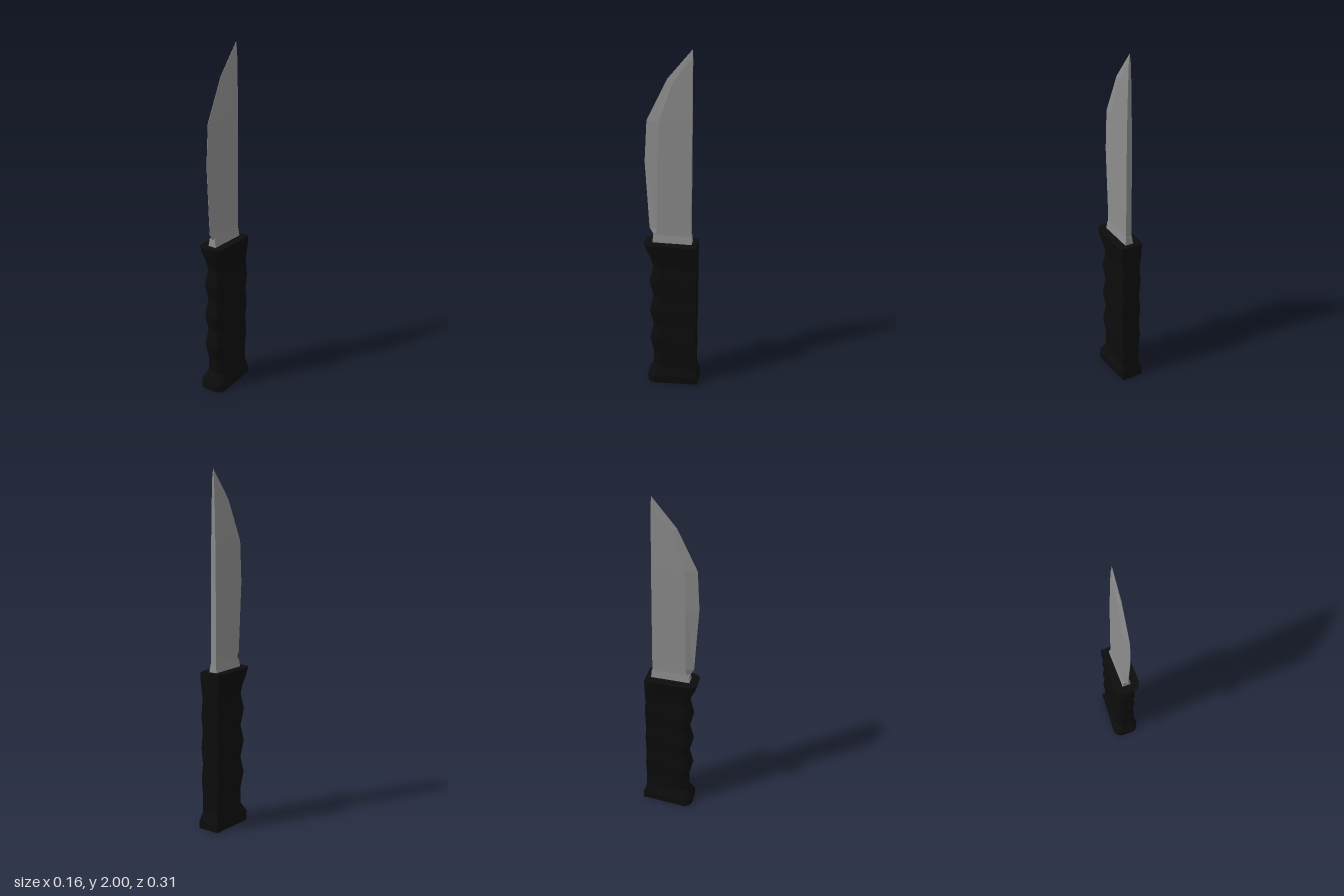
import * as THREE from 'three';

// Joins rings of [x, y, z] points into a closed, faceted solid.
function loft(rings) {
  const pos = [];
  const tri = (...pts) => pts.forEach((p) => pos.push(...p));
  const n = rings[0].length;
  const last = rings[rings.length - 1];
  for (let r = 0; r < rings.length - 1; r++) {
    for (let i = 0; i < n; i++) {
      const j = (i + 1) % n;
      const a = rings[r], b = rings[r + 1];
      tri(a[i], a[j], b[i]);
      tri(a[j], b[j], b[i]);
    }
  }
  for (let i = 1; i < n - 1; i++) {
    tri(rings[0][0], rings[0][i + 1], rings[0][i]);
    tri(last[0], last[i], last[i + 1]);
  }
  const geo = new THREE.BufferGeometry();
  geo.setAttribute('position', new THREE.Float32BufferAttribute(pos, 3));
  geo.computeVertexNormals();
  return geo;
}

// Completes a ring from its +x half, listed front to back.
const mirrored = (half) => [...half, ...half.slice().reverse().map(([x, y, z]) => [-x, y, z])];

function part(name, geometry, color) {
  const mesh = new THREE.Mesh(geometry, new THREE.MeshStandardMaterial({ color, flatShading: true }));
  mesh.name = name;
  return mesh;
}

export function createModel() {
  const group = new THREE.Group();
  group.name = 'knife';

  // Handle sections: y, front z, back z, half width in front, half width behind
  const sections = [
    [0, 0.142, -0.157, 0.078, 0.063],
    [0.045, 0.142, -0.157, 0.078, 0.063],
    [0.1, 0.108, -0.14, 0.052, 0.05],
  ];
  // Finger grooves: alternate narrow and wide
  for (let i = 0; i < 7; i++) {
    const wide = i % 2 === 1;
    sections.push([0.19 + i * 0.094, wide ? 0.13 : 0.108, -0.14, wide ? 0.059 : 0.05, wide ? 0.059 : 0.05]);
  }
  // Flare below the blade
  sections.push(
    [0.81, 0.122, -0.14, 0.057, 0.057],
    [0.86, 0.146, -0.14, 0.065, 0.065],
    [0.905, 0.157, -0.14, 0.073, 0.073],
  );
  const handleRings = sections.map(([y, zf, zb, w, wb]) => mirrored([
    [w * 0.5, y, zf],
    [w * 0.8, y, zf - 0.012],
    [w, y, zf - 0.04],
    [wb, y, zb + 0.03],
    [Math.min(wb, 0.063), y, zb],
  ]));
  group.add(part('handle', loft(handleRings), 0x0c0c0c));

  // Blade base, tapering up out of the handle
  const baseRings = [[0.88, 0.111, 0.025], [0.91, 0.111, 0.024], [0.95, 0.108, 0.018]].map(
    ([y, z, w]) => mirrored([[w, y, z], [w, y, -z]]));
  group.add(part('bladeBase', loft(baseRings), 0x8c8c8c));

  // Blade sections: bevel y, bevel z, edge y, edge z, half thickness
  const bladeRings = [
    [0.945, 0.1, 0.945, 0.108, 0.018],
    [0.985, 0.085, 0.985, 0.131, 0.017],
    [1.38, 0.083, 1.38, 0.154, 0.016],
    [1.61, 0.072, 1.61, 0.141, 0.014],
    [1.82, 0, 1.84, 0.03, 0.01],
    [1.95, -0.1, 2, -0.104, 0.006],
  ].map(([yb, zb, ye, ze, w]) => mirrored([
    [0.001, ye, ze],
    [w, yb, zb],
    [w, yb, -0.105],
  ]));
  group.add(part('blade', loft(bladeRings), 0x8c8c8c));

  return group;
}
